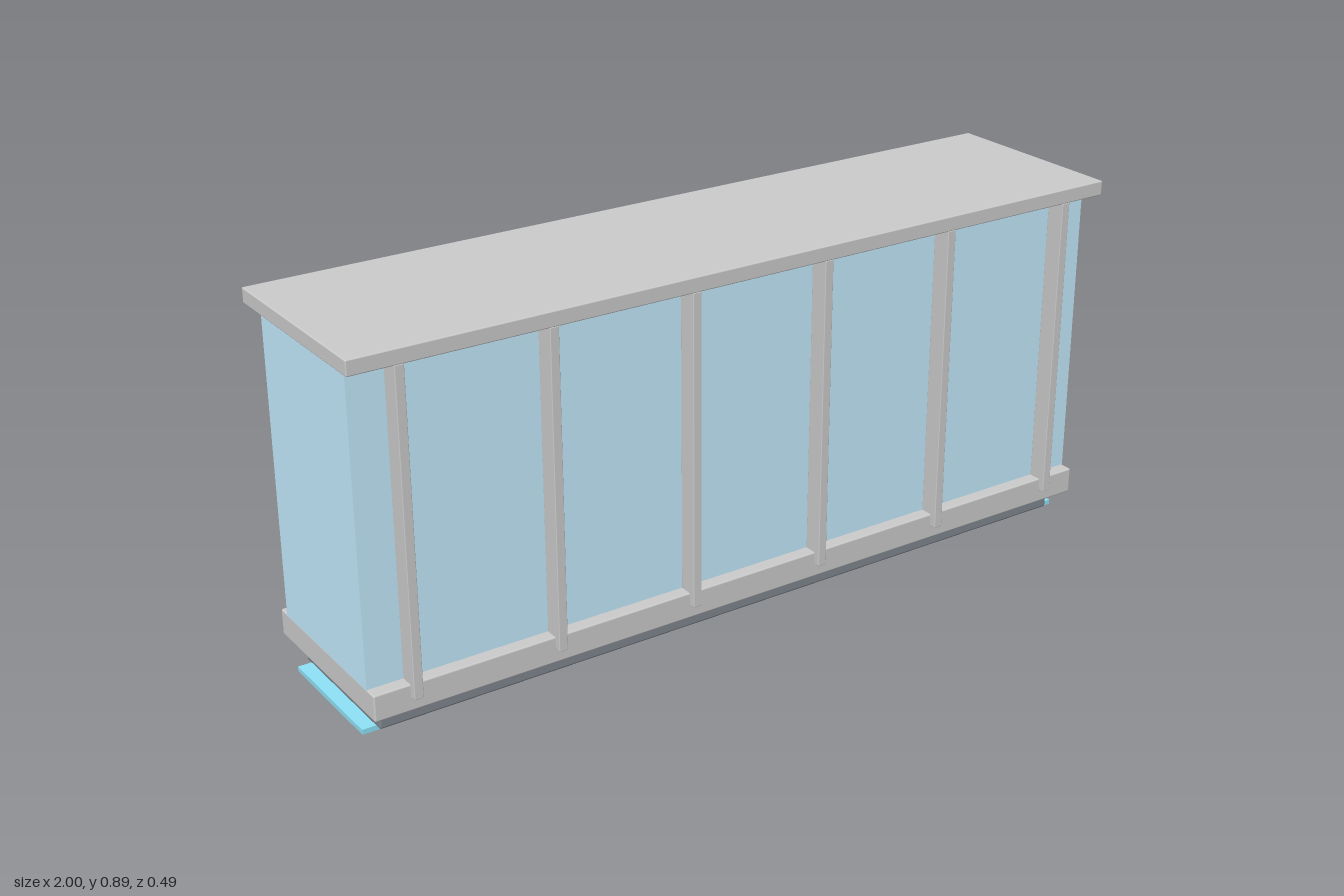
import * as THREE from 'three';
import { RoundedBoxGeometry } from 'three/addons/geometries/RoundedBoxGeometry.js';

export function createModel() {
  const model = new THREE.Group();
  model.name = 'glazedCabin';

  const grey = new THREE.MeshStandardMaterial({ color: 0xcccccc });
  const dark = new THREE.MeshStandardMaterial({ color: 0x80868f });
  const glass = new THREE.MeshStandardMaterial({ color: 0xc4ebfd });
  const glow = new THREE.MeshStandardMaterial({ color: 0x8fe1f7 });

  // Box centred on x and z = 0, spanning y0..y1, with optionally softened edges
  function slab(name, width, depth, y0, y1, material, radius = 0) {
    const h = y1 - y0;
    const geometry = radius
      ? new RoundedBoxGeometry(width, h, depth, 2, radius)
      : new THREE.BoxGeometry(width, h, depth);
    const mesh = new THREE.Mesh(geometry, material);
    mesh.name = name;
    mesh.position.y = (y0 + y1) / 2;
    model.add(mesh);
    return mesh;
  }

  // Stacked body, from the ground up
  slab('lightStrip', 1.964, 0.32, 0, 0.012, glow);
  slab('plinth', 1.9, 0.36, 0.01, 0.063, dark, 0.006);
  slab('sill', 1.964, 0.457, 0.064, 0.128, grey, 0.004);
  slab('glazing', 1.964, 0.393, 0.126, 0.85, glass);
  slab('roof', 2, 0.49, 0.857, 0.893, grey, 0.003);

  // Six posts along the front and the back
  for (const side of [1, -1]) {
    for (let i = 0; i < 6; i++) {
      const post = slab(side > 0 ? 'frontPost' : 'backPost', 0.022, 0.049, 0.097, 0.858, grey, 0.002);
      post.position.x = -0.885 + i * 0.354;
      post.position.z = side * 0.2205;
    }
  }

  return model;
}
